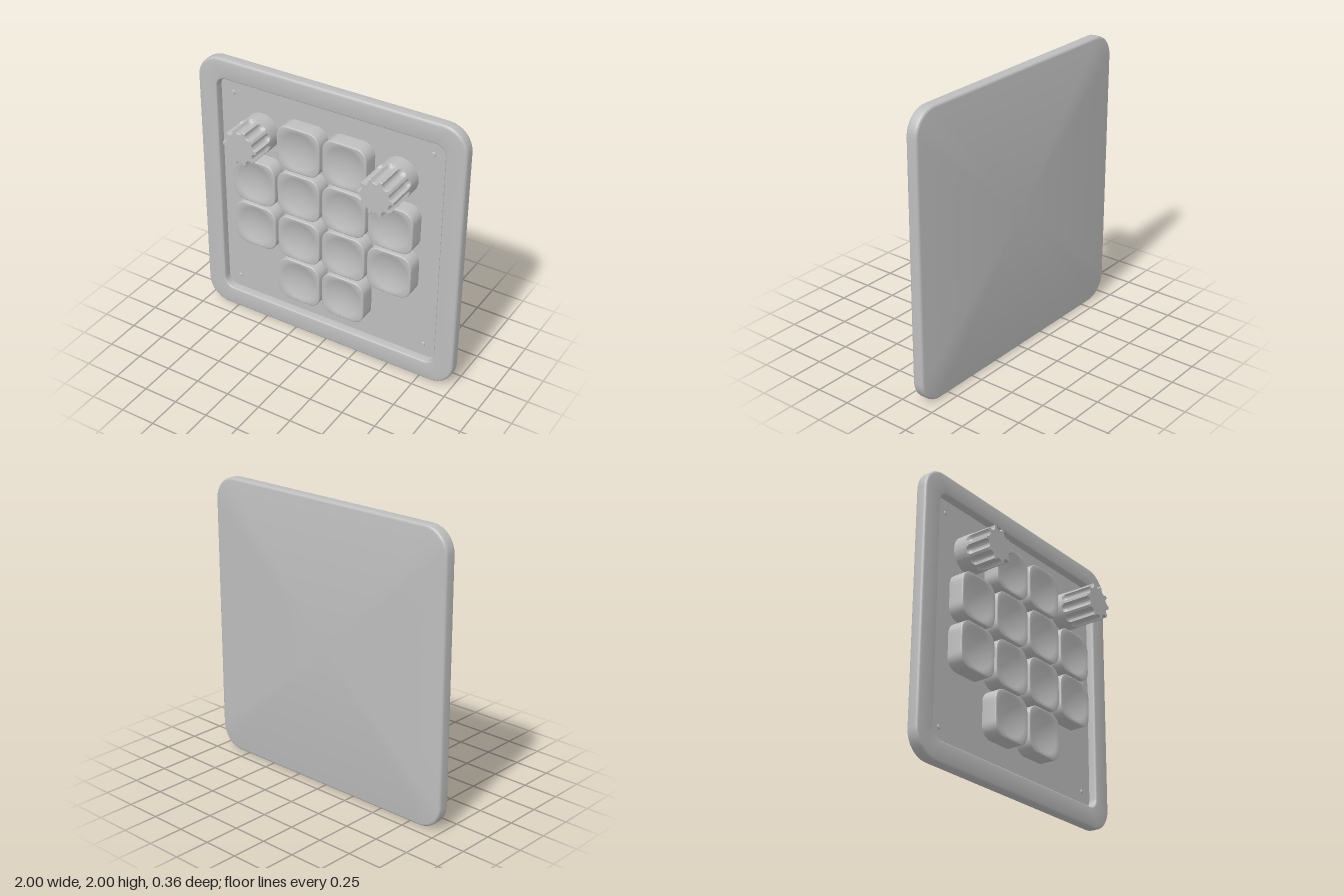
import * as THREE from 'three';
import { toCreasedNormals } from 'three/addons/utils/BufferGeometryUtils.js';

const grey = new THREE.MeshStandardMaterial({ color: 0xbdbdbd });
grey.name = 'plain grey';

// Skin a stack of rings (each a counter-clockwise list of [x, y, z]), back to front
function loft(rings) {
  const pos = [];
  const same = (p, q) => Math.hypot(p[0] - q[0], p[1] - q[1], p[2] - q[2]) < 1e-7;
  const tri = (a, b, c) => {
    if (!same(a, b) && !same(b, c) && !same(c, a)) pos.push(...a, ...b, ...c);
  };
  for (let r = 0; r + 1 < rings.length; r++) {
    const a = rings[r], b = rings[r + 1], n = a.length;
    for (let i = 0; i < n; i++) {
      const j = (i + 1) % n;
      tri(a[i], a[j], b[j]);
      tri(a[i], b[j], b[i]);
    }
  }
  const geo = new THREE.BufferGeometry();
  geo.setAttribute('position', new THREE.Float32BufferAttribute(pos, 3));
  return toCreasedNormals(geo, 0.5);
}

// Square ring with rounded corners; sides are subdivided
function squareRing(half, radius, z, arc = 8, side = 6) {
  const pts = [], c = half - radius;
  for (let q = 0; q < 4; q++) {
    const cos = Math.round(Math.cos(q * Math.PI / 2)), sin = Math.round(Math.sin(q * Math.PI / 2));
    const add = (x, y) => pts.push([x * cos - y * sin, x * sin + y * cos, z]);
    for (let i = 0; i <= arc; i++) {
      const t = i / arc * Math.PI / 2;
      add(c + radius * Math.cos(t), c + radius * Math.sin(t));
    }
    for (let i = 1; i < side; i++) add(c - 2 * c * i / side, half);
  }
  return pts;
}

// Project a ring onto a circle
const circleRing = (ring, radius, z) => ring.map(([x, y]) => {
  const l = Math.hypot(x, y);
  return [x / l * radius, y / l * radius, z];
});

const pointRing = (n, z) => Array.from({ length: n }, () => [0, 0, z]);

// Quarter-round steps as [inset, rise] pairs
const fillet = (r, steps = 4) => Array.from({ length: steps + 1 }, (_, i) => {
  const t = i / steps * Math.PI / 2;
  return [r * (1 - Math.cos(t)), r * Math.sin(t)];
});

const BACK = -0.18, FRONT = -0.095, PANEL = -0.142, KEY_TOP = -0.03;

// Tray: rounded back, raised rim, groove and inset panel
function trayGeometry() {
  const f = 0.018, e = 0.012, rings = [];
  const outer = (inset, z) => rings.push(squareRing(1 - inset, 0.17 - inset, z));
  const inner = (half, z) => rings.push(squareRing(half, half - 0.78, z));
  rings.push(pointRing(squareRing(1, 0.17, 0).length, BACK));
  fillet(f).reverse().forEach(([i, h]) => outer(i, BACK + f - h));
  fillet(f).forEach(([i, h]) => outer(i, FRONT - f + h));
  fillet(e).reverse().forEach(([i, h]) => inner(0.855 + i, FRONT - e + h));
  inner(0.855, PANEL - 0.012);
  inner(0.836, PANEL - 0.012);
  inner(0.836, PANEL);
  rings.push(pointRing(rings[0].length, PANEL));
  return loft(rings);
}

// Key: rounded square button with a dished top
function keyGeometry() {
  const half = 0.165, radius = 0.085, f = 0.007, dish = 0.155, depth = 0.03;
  const rings = [squareRing(half, radius, PANEL)];
  fillet(f).forEach(([i, h]) => rings.push(squareRing(half - i, radius - i, KEY_TOP - f + h)));
  for (let k = 0; k <= 8; k++) {
    const s = 1 - k / 8;
    rings.push(circleRing(rings[0], dish * s, KEY_TOP - depth * (1 - s * s)));
  }
  return loft(rings);
}

// Knob: cylinder with ten round flutes that end in ball-shaped run-outs
function knobGeometry(top) {
  const R = 0.132, c = 0.137, rho = 0.033, flutes = 10, start = -0.01, steps = 12;
  const edge = Math.acos((c * c + R * R - rho * rho) / (2 * c * R));
  const ring = (z, cut, inset = 0) => {
    const pts = [];
    for (let k = 0; k < flutes; k++) {
      const mid = Math.PI / 2 + k * 2 * Math.PI / flutes;
      for (let j = 0; j <= steps + 1; j++) {
        const a = j > steps ? Math.PI / flutes : edge * (2 * j / steps - 1);
        const under = cut * cut - (c * Math.sin(a)) ** 2;
        const r = (under > 0 ? Math.min(R, c * Math.cos(a) - Math.sqrt(under)) : R) - inset;
        pts.push([r * Math.cos(mid + a), r * Math.sin(mid + a), z]);
      }
    }
    return pts;
  };
  const rings = [ring(PANEL, 0)];
  for (let k = 0; k <= 8; k++) {
    const t = k / 8 * Math.PI / 2;
    rings.push(ring(start - rho * Math.cos(t), rho * Math.sin(t)));
  }
  rings.push(ring(top - 0.003, rho), ring(top, rho, 0.003));
  rings.push(pointRing(rings[0].length, top));
  return loft(rings);
}

export function createModel() {
  const model = new THREE.Group();
  model.name = 'controlPad';
  const add = (name, geo, x, y, z = 0) => {
    const mesh = new THREE.Mesh(geo, grey);
    mesh.name = name;
    mesh.position.set(x, y, z);
    model.add(mesh);
    return mesh;
  };

  add('tray', trayGeometry(), 0, 1);

  // Four by four grid with the corners left free
  const key = keyGeometry(), pitch = 0.35;
  for (let row = 0; row < 4; row++) {
    for (let col = 0; col < 4; col++) {
      if (col % 3 === 0 && row % 3 === 0) continue;
      add('key', key, (col - 1.5) * pitch, 1 + (row - 1.5) * pitch);
    }
  }

  // Knobs in the upper corners, the left one standing taller
  add('rightKnob', knobGeometry(0.13), -1.5 * pitch, 1 + 1.5 * pitch);
  add('leftKnob', knobGeometry(0.18), 1.5 * pitch, 1 + 1.5 * pitch);

  // Small screws near the panel corners
  const screw = new THREE.CylinderGeometry(0.013, 0.017, 0.008, 20).rotateX(Math.PI / 2);
  for (const sx of [-1, 1]) {
    for (const sy of [-1, 1]) add('screw', screw, sx * 0.75, 1 + sy * 0.75, PANEL + 0.003);
  }
  return model;
}
